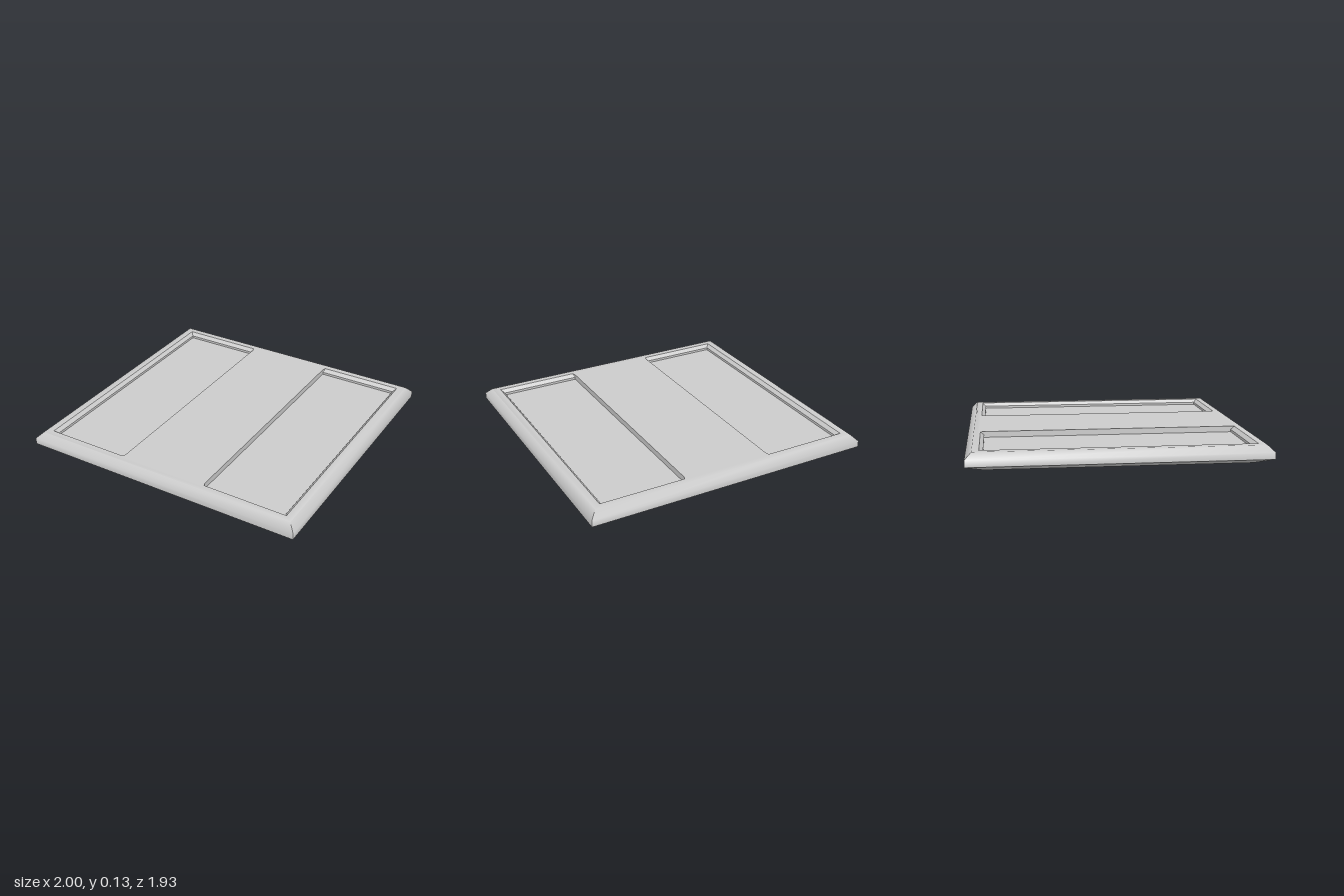
import * as THREE from 'three';
import { toCreasedNormals } from 'three/addons/utils/BufferGeometryUtils.js';

const grey = new THREE.MeshStandardMaterial({ color: 0xcccccc });
const TOP = 0.13;

// Rectangular ring, counter-clockwise seen from above
const rect = (x, z, y) => [[-x, y, z], [x, y, z], [x, y, -z], [-x, y, -z]];

// Joins rings of equal length; optional flat caps on the first and last ring
function loft(name, rings, crease, capStart = false, capEnd = false) {
  const pos = [];
  const tri = (a, b, c) => pos.push(...a, ...b, ...c);
  const n = rings[0].length;
  for (let r = 0; r < rings.length - 1; r++) {
    for (let i = 0; i < n; i++) {
      const j = (i + 1) % n;
      tri(rings[r][i], rings[r][j], rings[r + 1][j]);
      tri(rings[r][i], rings[r + 1][j], rings[r + 1][i]);
    }
  }
  const last = rings[rings.length - 1];
  for (let i = 1; i < n - 1; i++) {
    if (capStart) tri(rings[0][0], rings[0][i + 1], rings[0][i]);
    if (capEnd) tri(last[0], last[i], last[i + 1]);
  }
  const geo = new THREE.BufferGeometry();
  geo.setAttribute('position', new THREE.Float32BufferAttribute(pos, 3));
  const mesh = new THREE.Mesh(toCreasedNormals(geo, crease), grey);
  mesh.name = name;
  return mesh;
}

// Six-sided outline of a well, with small chamfers at the inner corners
function wellRing(side, outerX, z, innerX, cornerX, cornerZ, y) {
  const ring = [
    [cornerX, z], [outerX, z], [outerX, -z],
    [cornerX, -z], [innerX, -cornerZ], [innerX, cornerZ],
  ].map(([x, pz]) => [side * x, y, pz]);
  return side > 0 ? ring : ring.reverse();
}

export function createModel() {
  const model = new THREE.Group();
  model.name = 'recessedTile';

  // Underside: deep hollow with upright walls, and sloping outer bevel
  model.add(loft('underside', [
    rect(0.885, 0.85, 0.087), rect(0.885, 0.85, 0), rect(1, 0.965, 0.044),
  ], 0.1, true));

  // Outer wall and softly shaded top chamfer
  model.add(loft('rim', [
    rect(1, 0.965, 0.044), rect(1, 0.965, 0.088),
    rect(0.957, 0.922, TOP), rect(0.92, 0.885, TOP),
  ], 0.9));

  // Top deck with an opening over each well
  const toVec = ([x, , z]) => new THREE.Vector2(x, -z);
  const deckShape = new THREE.Shape(rect(0.92, 0.885, TOP).map(toVec));

  for (const side of [1, -1]) {
    const opening = wellRing(side, 0.908, 0.877, 0.311, 0.32, 0.855, TOP);
    deckShape.holes.push(new THREE.Path(opening.map(toVec)));
    // Well: sloping lip, short upright wall, flat floor
    model.add(loft(side > 0 ? 'leftWell' : 'rightWell', [
      opening,
      wellRing(side, 0.885, 0.853, 0.311, 0.311, 0.853, 0.107),
      wellRing(side, 0.885, 0.853, 0.311, 0.311, 0.853, 0.09),
    ], 0.1, false, true));
  }

  const deck = new THREE.Mesh(new THREE.ShapeGeometry(deckShape), grey);
  deck.geometry.rotateX(-Math.PI / 2);
  deck.position.y = TOP;
  deck.name = 'topDeck';
  model.add(deck);

  return model;
}
